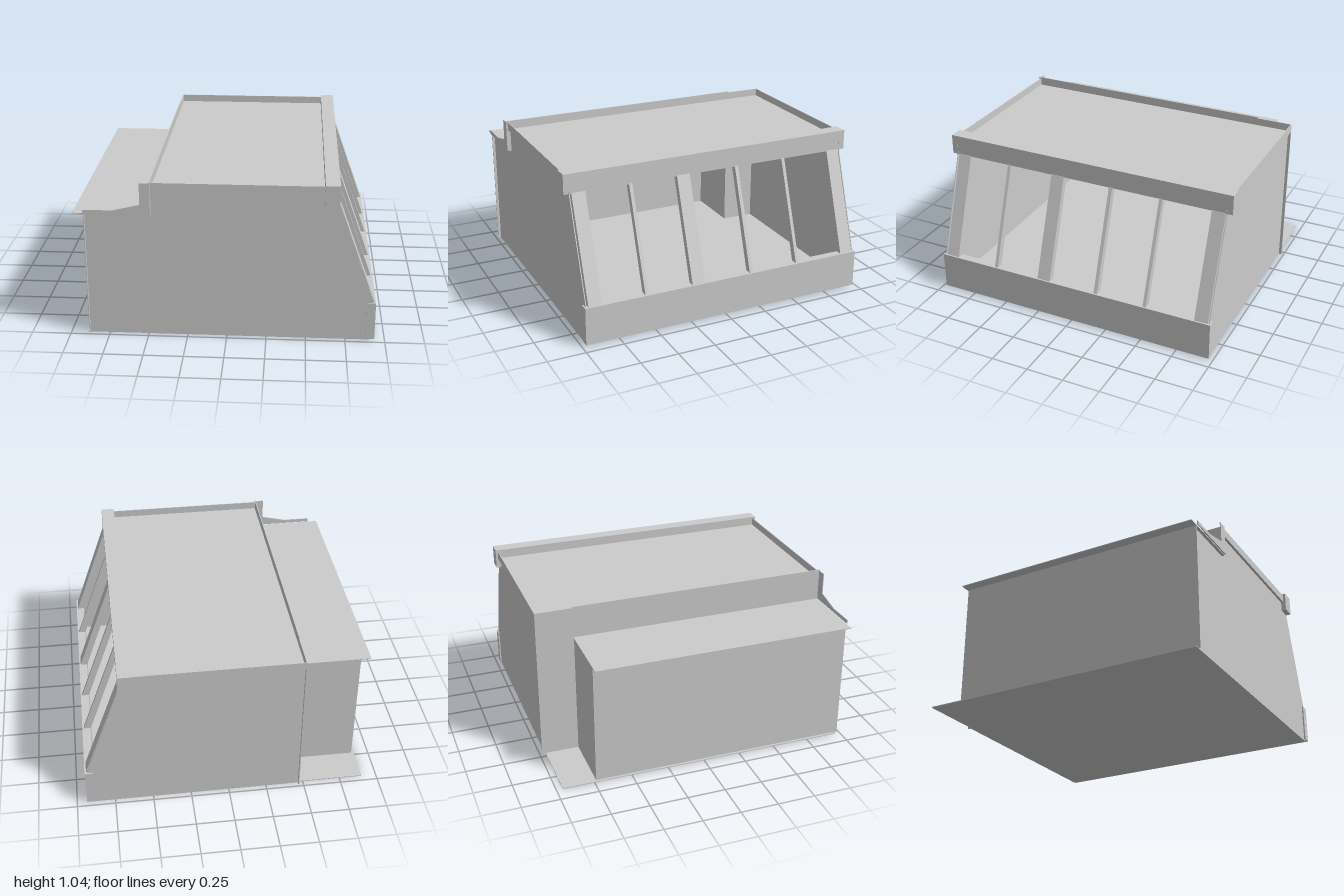
import * as THREE from 'three';

export function createModel() {
  const model = new THREE.Group();
  const material = new THREE.MeshStandardMaterial({
    color: 0xcccccc, flatShading: true, side: THREE.DoubleSide,
  });

  function add(name, geometry) {
    const mesh = new THREE.Mesh(geometry, material);
    mesh.name = name;
    model.add(mesh);
    return mesh;
  }

  // Box given by its limits on each axis
  function block(name, [x0, x1], [y0, y1], [z0, z1]) {
    const mesh = add(name, new THREE.BoxGeometry(x1 - x0, y1 - y0, z1 - z0));
    mesh.position.set((x0 + x1) / 2, (y0 + y1) / 2, (z0 + z1) / 2);
    return mesh;
  }

  // Outline in x and y, extruded from z0 to z1
  function panel(name, points, z0, z1) {
    const shape = new THREE.Shape(points.map(([x, y]) => new THREE.Vector2(x, y)));
    const geometry = new THREE.ExtrudeGeometry(shape, { depth: z1 - z0, bevelEnabled: false });
    geometry.translate(0, 0, z0);
    return add(name, geometry);
  }

  const t = 0.006;          // sheet thickness
  const step = -0.466;      // where the low extension meets the main room
  const roofY = 0.985;
  const lowY = 0.83;

  // Floor
  block('floor', [-0.9, 0.9], [0, t], [-0.96, 0.965]);

  // Side walls, sloping along the window front
  const slope = [[0.9, 0], [0.9, 0.26], [0.92, 0.26], [0.69, 0.91], [0.69, roofY]];
  panel('frontWall', [[-0.88, 0], ...slope, [step, roofY], [step, lowY], [-0.88, lowY]], 0.96, 0.966);
  panel('rearWall', [[step, 0], ...slope, [step, roofY]], -0.966, -0.96);

  // Extension: outer wall, end wall and flat overhanging roof
  block('extensionOuterWall', [-0.884, -0.878], [0, lowY], [-0.73, 0.985]);
  block('extensionEndWall', [-0.884, step], [0, lowY], [-0.736, -0.73]);
  block('extensionRoof', [-0.95, step], [lowY - t, lowY], [-0.74, 0.985]);

  // Main room wall beside and above the extension opening
  block('cornerWall', [step - t, step], [0, 1.035], [-0.985, -0.73]);
  block('openingHeader', [step - t, step], [lowY, 1.043], [-0.74, 0.995]);

  // Upper roof with low rims at both ends
  block('mainRoof', [step, 0.6], [roofY - t, roofY], [-0.985, 0.98]);
  for (const [name, z] of [['frontRim', 0.977], ['rearRim', -0.985]]) {
    block(name, [step, 0.6], [roofY - t, 1.035], [z, z + t]);
  }

  // Stepped flashing over the extension's front edge
  panel('flashing', [
    [-0.884, lowY], [step, lowY], [step, 1.035], [-0.53, 1.035],
    [-0.53, 0.895], [-0.7, 0.855], [-0.884, 0.855],
  ], 0.989, 0.995);

  // Window beams
  block('upperBeam', [0.597, 0.688], [0.915, 1.045], [-1, 1]);
  block('lowerBeam', [0.88, 0.935], [0.01, 0.26], [-0.975, 0.975]);

  // Sloping window bars: wide posts and thin mullions
  const bars = [
    [0.86, 0.95], [0.55, 0.572], [0.155, 0.245],
    [-0.192, -0.168], [-0.537, -0.515], [-0.955, -0.865],
  ];
  for (const [z0, z1] of bars) {
    panel(z1 - z0 > 0.05 ? 'windowPost' : 'windowMullion', [
      [0.688, 0.92], [0.925, 0.26], [0.925, 0.24], [0.885, 0.24], [0.645, 0.92],
    ], z0, z1);
  }

  return model;
}
